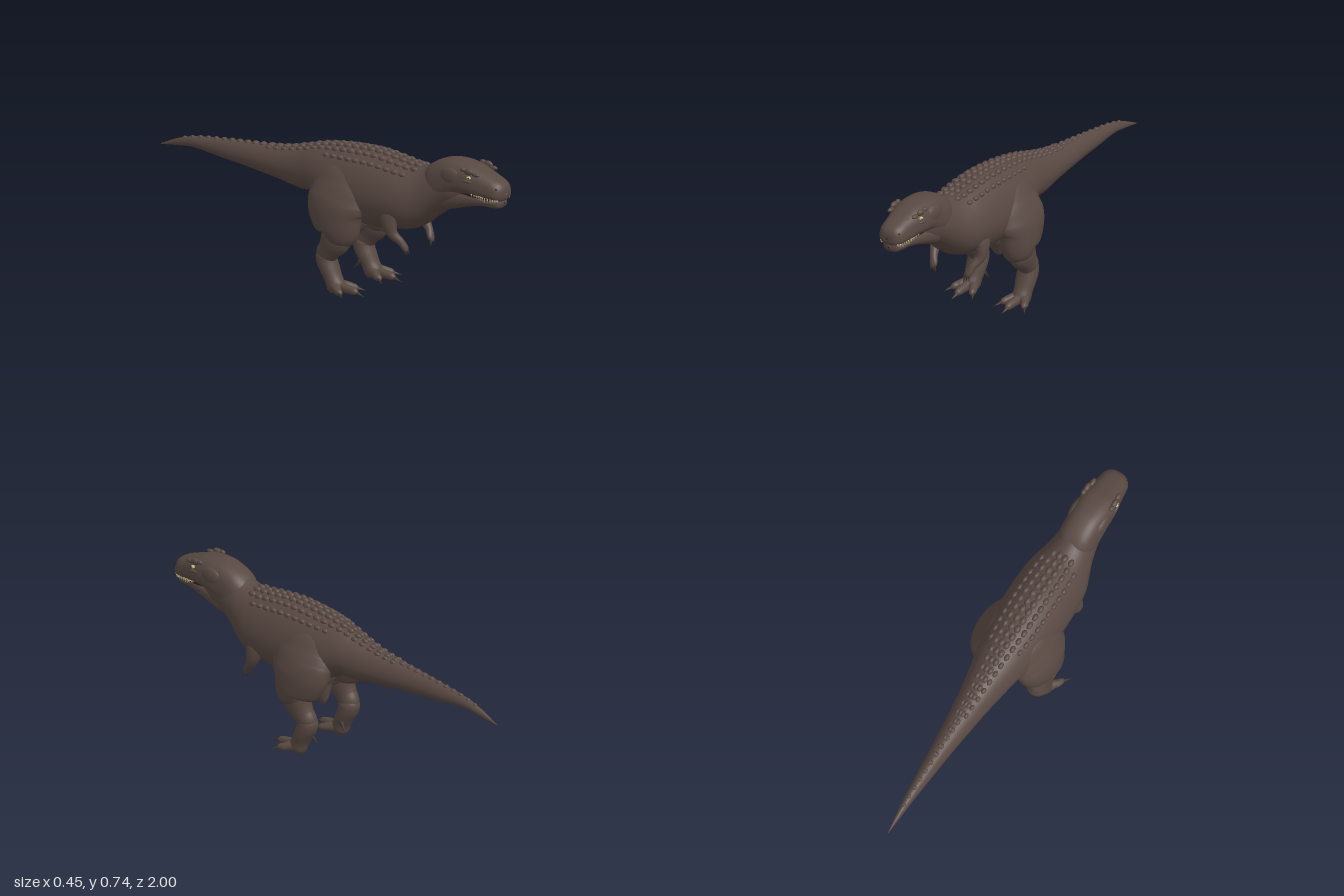
import * as THREE from 'three';
import { mergeGeometries } from 'three/addons/utils/BufferGeometryUtils.js';

const mat = (name, color) => Object.assign(new THREE.MeshStandardMaterial({ color }), { name });
const V = (x, y, z) => new THREE.Vector3(x, y, z);

// Smooth tube through rows [x, y, z, sideRadius, otherRadius].
// upright keeps the rings vertical, sq < 1 squares them, egg widens the underside.
function loft(rows, { steps = 40, sides = 24, upright = false, sq = 1, egg = 0 } = {}) {
  const path = new THREE.CatmullRomCurve3(rows.map(r => V(r[0], r[1], r[2])), false, 'catmullrom');
  const size = new THREE.CatmullRomCurve3(rows.map(r => V(r[3], r[4], 0)), false, 'catmullrom');
  const pw = v => Math.sign(v) * Math.abs(v) ** sq;
  const at = (t, a) => {
    const T = upright ? V(0, 0, 1) : path.getTangent(t);
    const S = V(1, 0, 0).addScaledVector(T, -T.x).normalize();
    const U = T.clone().cross(S);
    const r = size.getPoint(t);
    const s = pw(Math.sin(a));
    return path.getPoint(t)
      .addScaledVector(S, Math.max(r.x, 0.0005) * pw(Math.cos(a)) * (1 - egg * s))
      .addScaledVector(U, Math.max(r.y, 0.0005) * s);
  };
  const pos = [], idx = [];
  for (let i = 0; i <= steps; i++) {
    for (let j = 0; j < sides; j++) {
      pos.push(...at(i / steps, (j / sides) * Math.PI * 2).toArray());
      if (i === steps) continue;
      const a = i * sides + j, b = i * sides + (j + 1) % sides;
      idx.push(a, b, a + sides, b, b + sides, a + sides);
    }
  }
  const geo = new THREE.BufferGeometry();
  geo.setAttribute('position', new THREE.Float32BufferAttribute(pos, 3));
  geo.setIndex(idx);
  geo.computeVertexNormals();
  return { geo, at };
}

// Rows [z, top, bottom, halfWidth] for parts that run along z
const profile = (rows, opts) => loft(
  rows.map(([z, top, bottom, w]) => [0, (top + bottom) / 2, z, w, (top - bottom) / 2]),
  { upright: true, ...opts });

const blob = (p, rx, ry, rz, seg = 10) =>
  new THREE.SphereGeometry(1, seg, Math.ceil(seg * 0.7)).scale(rx, ry, rz).translate(p.x, p.y, p.z);

// Cone from point a to point b
function spike(a, b, r) {
  const d = b.clone().sub(a), len = d.length();
  const q = new THREE.Quaternion().setFromUnitVectors(V(0, 1, 0), d.normalize());
  return new THREE.ConeGeometry(r, len, 8).translate(0, len / 2, 0).applyQuaternion(q).translate(a.x, a.y, a.z);
}

export function createModel() {
  const skin = mat('skin', 0x584842), claw = mat('claw', 0x40352f), dark = mat('mouthInterior', 0x2a1f1d);
  const ivory = mat('toothIvory', 0xcdbf92), amber = mat('eyeAmber', 0xc9b77c), black = mat('pupilBlack', 0x14100e);
  const model = new THREE.Group();
  model.name = 'dinosaur';
  const add = (name, geo, material, parent = model) => {
    const m = new THREE.Mesh(geo, material);
    m.name = name;
    parent.add(m);
    return m;
  };

  // Tail, trunk and neck
  const body = profile([
    [-1, 0.452, 0.448, 0.001], [-0.9, 0.497, 0.462, 0.014], [-0.8, 0.525, 0.472, 0.024],
    [-0.65, 0.545, 0.458, 0.037], [-0.5, 0.56, 0.446, 0.051], [-0.29, 0.582, 0.424, 0.075],
    [-0.16, 0.612, 0.406, 0.096], [-0.08, 0.635, 0.408, 0.112], [0.0, 0.652, 0.37, 0.13], [0.12, 0.667, 0.33, 0.15],
    [0.27, 0.674, 0.312, 0.157], [0.4, 0.66, 0.328, 0.154], [0.48, 0.65, 0.342, 0.143],
    [0.54, 0.658, 0.372, 0.122], [0.6, 0.68, 0.42, 0.102], [0.67, 0.7, 0.468, 0.088],
    [0.73, 0.7, 0.495, 0.083], [0.8, 0.68, 0.53, 0.06],
  ], { steps: 110, sides: 40, egg: 0.13 });
  add('body', body.geo, skin);

  // Rows of low bony bumps down the back, fewer towards the tail
  const bumps = [];
  [[0.12, 0.5, -0.88], [0.4, 0.5, -0.4], [0.7, 0.46, 0.0]].forEach(([off, front, back], row) => {
    for (const s of [-1, 1]) {
      let last = 9;
      for (let t = 1; t > 0; t -= 0.001) {
        const p = body.at(t, Math.PI / 2 + s * off);
        if (p.z > front || p.z < back || last - p.z < 0.044) continue;
        last = p.z;
        const k = (0.4 + 0.6 * Math.min(1, (p.z + 0.95) / 1.05)) * (1 - row * 0.1);
        p.y -= 0.002;
        bumps.push(blob(p, 0.015 * k, 0.016 * k, 0.023 * k));
      }
    }
  });
  add('backBumps', mergeGeometries(bumps), skin);

  // Head
  const head = new THREE.Group();
  head.name = 'head';
  model.add(head);
  const skull = profile([
    [0.53, 0.63, 0.5, 0.05], [0.6, 0.69, 0.5, 0.086], [0.68, 0.722, 0.53, 0.09], [0.75, 0.727, 0.565, 0.091],
    [0.82, 0.718, 0.577, 0.089], [0.87, 0.702, 0.575, 0.08], [0.91, 0.688, 0.572, 0.073],
    [0.96, 0.668, 0.57, 0.065], [0.985, 0.652, 0.573, 0.05], [0.997, 0.632, 0.585, 0.03], [1, 0.612, 0.602, 0.003],
  ], { steps: 60, sides: 36, sq: 0.75, egg: 0.1 });
  add('skull', skull.geo, skin, head);
  add('lowerJaw', profile([
    [0.6, 0.57, 0.49, 0.05], [0.67, 0.58, 0.477, 0.074], [0.73, 0.595, 0.49, 0.078], [0.8, 0.595, 0.513, 0.071],
    [0.88, 0.59, 0.53, 0.057], [0.95, 0.588, 0.532, 0.048], [0.975, 0.583, 0.537, 0.036], [0.988, 0.565, 0.556, 0.003],
  ], { sides: 28, sq: 0.8 }).geo, skin, head);
  add('mouthInterior', profile([
    [0.77, 0.608, 0.58, 0.07], [0.84, 0.604, 0.572, 0.068], [0.9, 0.6, 0.569, 0.058], [0.95, 0.598, 0.567, 0.05], [0.98, 0.59, 0.57, 0.003],
  ], { steps: 16, sq: 0.6 }).geo, dark, head);

  // Teeth along the upper lip, longest at the sides of the snout
  const teeth = [];
  for (const s of [-1, 1]) {
    for (let i = 0; i < 13; i++) {
      const p = skull.at(0.46 + i * 0.0265, -Math.PI / 2 + s * 0.85);
      const len = 0.014 + 0.012 * Math.sin((i / 12) * Math.PI);
      p.y += 0.002;
      teeth.push(spike(p, V(p.x * 0.97, p.y - len, p.z), 0.004));
    }
  }
  add('teeth', mergeGeometries(teeth), ivory, head);

  // Brow horns, snout ridges, eyes and nostrils
  const ridges = [];
  for (const s of [-1, 1]) {
    ridges.push(
      blob(V(s * 0.074, 0.7, 0.835), 0.013, 0.016, 0.026, 14),
      blob(V(s * 0.075, 0.705, 0.805), 0.011, 0.011, 0.016, 14),
      blob(V(s * 0.068, 0.69, 0.872), 0.011, 0.01, 0.022, 14),
      blob(V(s * 0.083, 0.655, 0.83), 0.009, 0.007, 0.028, 14),
      blob(V(s * 0.073, 0.655, 0.735), 0.022, 0.045, 0.065, 18));
    for (let i = 0; i < 4; i++) ridges.push(blob(V(s * (0.042 - i * 0.003), 0.677 - i * 0.0075, 0.895 + i * 0.019), 0.011, 0.008, 0.014));
    add('eye', blob(V(s * 0.081, 0.673, 0.842), 0.009, 0.008, 0.011, 16), amber, head);
    add('pupil', blob(V(s * 0.088, 0.673, 0.846), 0.003, 0.004, 0.004, 10), black, head);
    add('nostril', blob(V(s * 0.051, 0.636, 0.976), 0.004, 0.004, 0.006, 10), dark, head);
  }
  add('faceRidges', mergeGeometries(ridges), skin, head);

  // Pointed hip bone under the belly
  add('hipKeel', loft([
    [0, 0.4, 0.12, 0.09, 0.1], [0, 0.32, 0.12, 0.066, 0.075], [0, 0.27, 0.11, 0.049, 0.05],
    [0, 0.22, 0.1, 0.024, 0.028], [0, 0.2, 0.095, 0.009, 0.01], [0, 0.196, 0.094, 0.001, 0.001],
  ]).geo, skin);

  for (const s of [1, -1]) {
    const side = s > 0 ? 'left' : 'right';
    const limb = (rows, opts) => loft(rows.map(([x, ...r]) => [x * s, ...r]), opts).geo;
    const leg = new THREE.Group(), arm = new THREE.Group();
    leg.name = side + 'Leg';
    arm.name = side + 'Arm';
    model.add(leg, arm);

    // Leg
    add('thigh', limb([
      [0.05, 0.61, 0.11, 0.02, 0.05], [0.072, 0.56, 0.11, 0.057, 0.12], [0.09, 0.5, 0.115, 0.075, 0.152],
      [0.108, 0.45, 0.118, 0.083, 0.163], [0.126, 0.4, 0.118, 0.084, 0.16], [0.136, 0.35, 0.125, 0.078, 0.142],
      [0.14, 0.295, 0.14, 0.073, 0.105], [0.141, 0.258, 0.13, 0.06, 0.07], [0.141, 0.235, 0.12, 0.03, 0.03],
    ], { sides: 32 }), skin, leg);
    add('shin', limb([
      [0.141, 0.31, 0.14, 0.05, 0.07], [0.143, 0.25, 0.12, 0.052, 0.078], [0.143, 0.2, 0.088, 0.046, 0.058],
      [0.14, 0.165, 0.064, 0.042, 0.05], [0.14, 0.14, 0.07, 0.02, 0.02],
    ]), skin, leg);
    add('ankle', limb([
      [0.138, 0.195, 0.07, 0.02, 0.02], [0.138, 0.17, 0.063, 0.044, 0.047], [0.138, 0.14, 0.066, 0.049, 0.049],
      [0.138, 0.1, 0.085, 0.05, 0.043], [0.139, 0.06, 0.105, 0.045, 0.04],
      [0.14, 0.025, 0.122, 0.043, 0.044], [0.14, 0.004, 0.13, 0.034, 0.038],
    ]), skin, leg);

    // Three spread toes and a small rear one, each with a claw
    const claws = [];
    [[0.14, 0.235, 0.285], [0.196, 0.185, 0.222], [0.086, 0.195, 0.232]].forEach(([x, z, tipZ]) => {
      const dx = x - 0.14;
      add('toe', limb([
        [0.14 + dx * 0.25, 0.03, 0.11, 0.024, 0.028], [0.14 + dx * 0.6, 0.025, (0.11 + z) / 2, 0.021, 0.023],
        [0.14 + dx * 0.85, 0.021, z - 0.02, 0.018, 0.019], [x, 0.017, z, 0.014, 0.015],
        [x + dx * 0.12, 0.012, z + 0.014, 0.002, 0.002],
      ], { steps: 20, sides: 16 }), skin, leg);
      claws.push(spike(V(s * x, 0.017, z - 0.005), V(s * (x + dx * 0.5), 0.003, tipZ), 0.011));
    });
    claws.push(spike(V(s * 0.1, 0.075, 0.075), V(s * 0.088, 0.035, 0.045), 0.011));
    add('toeClaws', mergeGeometries(claws), claw, leg);

    // Arm
    add('armLimb', limb([
      [0.1, 0.48, 0.41, 0.01, 0.02], [0.118, 0.43, 0.41, 0.028, 0.05], [0.127, 0.38, 0.418, 0.028, 0.04],
      [0.124, 0.335, 0.435, 0.024, 0.026], [0.109, 0.302, 0.467, 0.018, 0.018], [0.098, 0.274, 0.485, 0.019, 0.014],
      [0.096, 0.257, 0.492, 0.013, 0.009], [0.096, 0.25, 0.493, 0.001, 0.001],
    ]), skin, arm);
    add('fingerClaws', mergeGeometries([
      spike(V(s * 0.088, 0.272, 0.489), V(s * 0.079, 0.232, 0.5), 0.008),
      spike(V(s * 0.104, 0.272, 0.489), V(s * 0.108, 0.238, 0.5), 0.008),
      spike(V(s * 0.096, 0.264, 0.491), V(s * 0.09, 0.234, 0.494), 0.007),
    ]), claw, arm);
  }
  return model;
}
